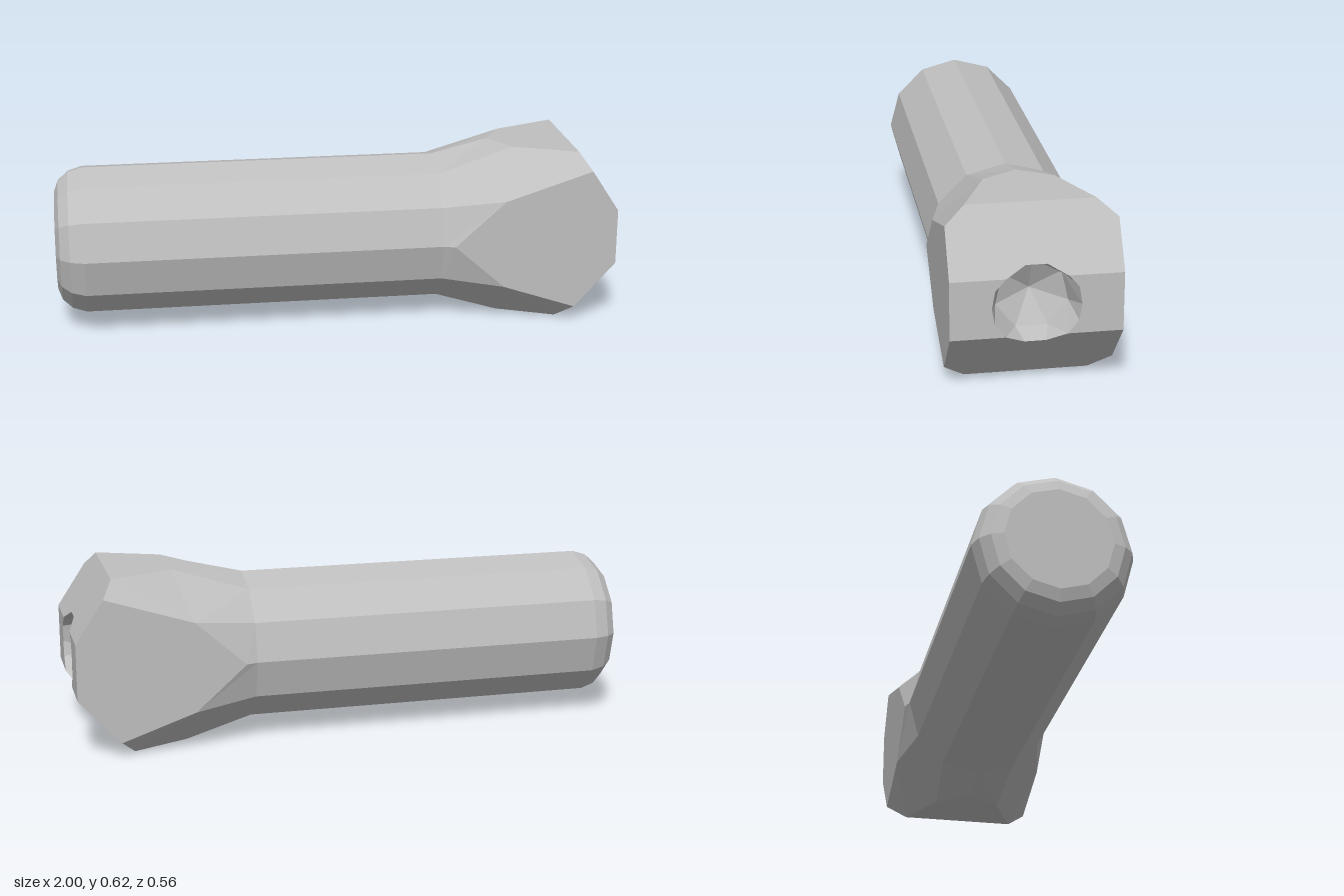
import * as THREE from 'three';
import { mergeGeometries } from 'three/addons/utils/BufferGeometryUtils.js';

const CY = 0.308; // height of the shaft axis
const v = (x, y, z) => new THREE.Vector3(x, y, z);

// Flat-shaded polygons, each turned away from (or toward) an inner point.
function facets(polys, inner, inward = false) {
  const pos = [];
  for (const p of polys) {
    for (let i = 1; i < p.length - 1; i++) {
      const t = [p[0], p[i], p[i + 1]];
      const n = t[1].clone().sub(t[0]).cross(t[2].clone().sub(t[0]));
      const outward = n.dot(t[0].clone().sub(inner)) > 0;
      if (outward === inward) t.reverse();
      for (const q of t) pos.push(q.x, q.y, q.z);
    }
  }
  const g = new THREE.BufferGeometry();
  g.setAttribute('position', new THREE.Float32BufferAttribute(pos, 3));
  g.computeVertexNormals();
  return g;
}

const ring = (x, r) => Array.from({ length: 12 }, (_, i) => {
  const a = (i * Math.PI) / 6;
  return v(x, CY + r * Math.sin(a), r * Math.cos(a));
});

// Quads joining two closed rings.
const band = (a, b) => a.map((p, i) => {
  const j = (i + 1) % a.length;
  return [p, a[j], b[j], b[i]];
});

// Depth of the bevelled end at a given height.
const endX = (y) => Math.min(1, 1 - (y - 0.42) * 0.66, 1 - (0.22 - y) * 0.91);

export function createModel() {
  const group = new THREE.Group();
  const grey = new THREE.MeshStandardMaterial({ color: 0xbfbfbf });
  grey.name = 'plain grey';
  const add = (name, geometry) => {
    const m = new THREE.Mesh(geometry, grey);
    m.name = name;
    group.add(m);
  };

  // Twelve-sided shaft with a rounded butt
  const rings = [[-1, 0.18], [-0.985, 0.22], [-0.95, 0.252], [-0.9, 0.268], [0.37, 0.268]]
    .map(([x, r]) => ring(x, r));
  const shaft = [rings[0]];
  for (let i = 0; i < rings.length - 1; i++) shaft.push(...band(rings[i], rings[i + 1]));
  add('shaft', facets(shaft, v(0, CY, 0)));

  // Flare from the shaft to the flat sides of the head
  const mz = (p) => v(p.x, p.y, -p.z);
  const side = v(0.41, CY, 0.28);
  const up30 = v(0.59, 0.47, 0.28), up60 = v(0.645, 0.625, 0.12), top = v(0.57, 0.625, 0);
  const dn30 = v(0.59, 0.148, 0.28), dn60 = v(0.6, 0, 0.12), bottom = v(0.52, 0, 0);
  const collar = [side, up30, up60, top, mz(up60), mz(up30), mz(side),
    mz(dn30), mz(dn60), bottom, dn60, dn30];
  const centre = v(0.65, CY, 0);
  add('flare', facets(band(rings[4], collar), centre));

  // Head: flat sides, top, bottom and chamfered corners
  const upA = v(endX(0.57), 0.57, 0.28), upB = v(endX(0.625), 0.625, 0.213);
  const dnA = v(endX(0.058), 0.058, 0.28), dnB = v(endX(0), 0, 0.208);
  const cheek = [side, up30, upA, v(1, 0.42, 0.28), v(1, 0.22, 0.28), dnA, dn30];
  const half = [cheek, [up30, up60, upB, upA], [dn30, dn60, dnB, dnA]];
  const head = [...half, ...half.map((p) => p.map(mz)),
    [top, up60, upB, mz(upB), mz(up60)],
    [bottom, dn60, dnB, mz(dnB), mz(dn60)]];
  add('head', facets(head, centre));

  // End face: two cheeks and two bevels around the socket, drawn in (z, y)
  const rimHalf = [[0.035, 0.455], [0.1, 0.42], [0.135, 0.38], [0.145, 0.32],
    [0.135, 0.265], [0.1, 0.22], [0.035, 0.188]];
  const flip = (pts) => pts.map(([z, y]) => [-z, y]).reverse();
  const right = [[0.28, 0.22], [0.28, 0.42], ...rimHalf.slice(1, 6)];
  const bevelUp = [[0.1, 0.42], [0.28, 0.42], [0.28, 0.57], [0.213, 0.625]];
  const bevelDown = [[0.1, 0.22], [0.28, 0.22], [0.28, 0.058], [0.208, 0]];
  const outlines = [right, flip(right),
    [rimHalf[0], ...bevelUp, ...flip([rimHalf[0], ...bevelUp])],
    [rimHalf[6], ...bevelDown, ...flip([rimHalf[6], ...bevelDown])]];
  add('endFace', mergeGeometries(outlines.map((pts) => {
    const shape = new THREE.Shape(pts.map(([z, y]) => new THREE.Vector2(z, y)));
    const g = new THREE.ShapeGeometry(shape).toNonIndexed();
    const p = g.attributes.position;
    for (let i = 0; i < p.count; i++) {
      const a = p.getX(i), b = p.getY(i);
      p.setXYZ(i, endX(b), b, -a);
    }
    g.computeVertexNormals();
    return g;
  })));

  // Socket: fourteen-sided rim, seven-sided floor sunk to a shallow point
  const rim = [...rimHalf, ...flip(rimHalf)].map(([z, y]) => v(endX(y), y, z));
  rim.unshift(rim.pop());
  const floor = Array.from({ length: 7 }, (_, k) => {
    const a = (k * Math.PI * 2) / 7;
    return v(0.9, 0.32 + 0.122 * Math.cos(a), 0.122 * Math.sin(a));
  });
  const apex = v(0.84, 0.32, 0);
  const socket = [];
  floor.forEach((h, k) => {
    const next = floor[(k + 1) % 7];
    socket.push([rim[2 * k], rim[2 * k + 1], h]);
    socket.push([rim[2 * k + 1], rim[(2 * k + 2) % 14], next, h]);
    socket.push([h, next, apex]);
  });
  add('socket', facets(socket, v(0.95, 0.32, 0), true));

  return group;
}
